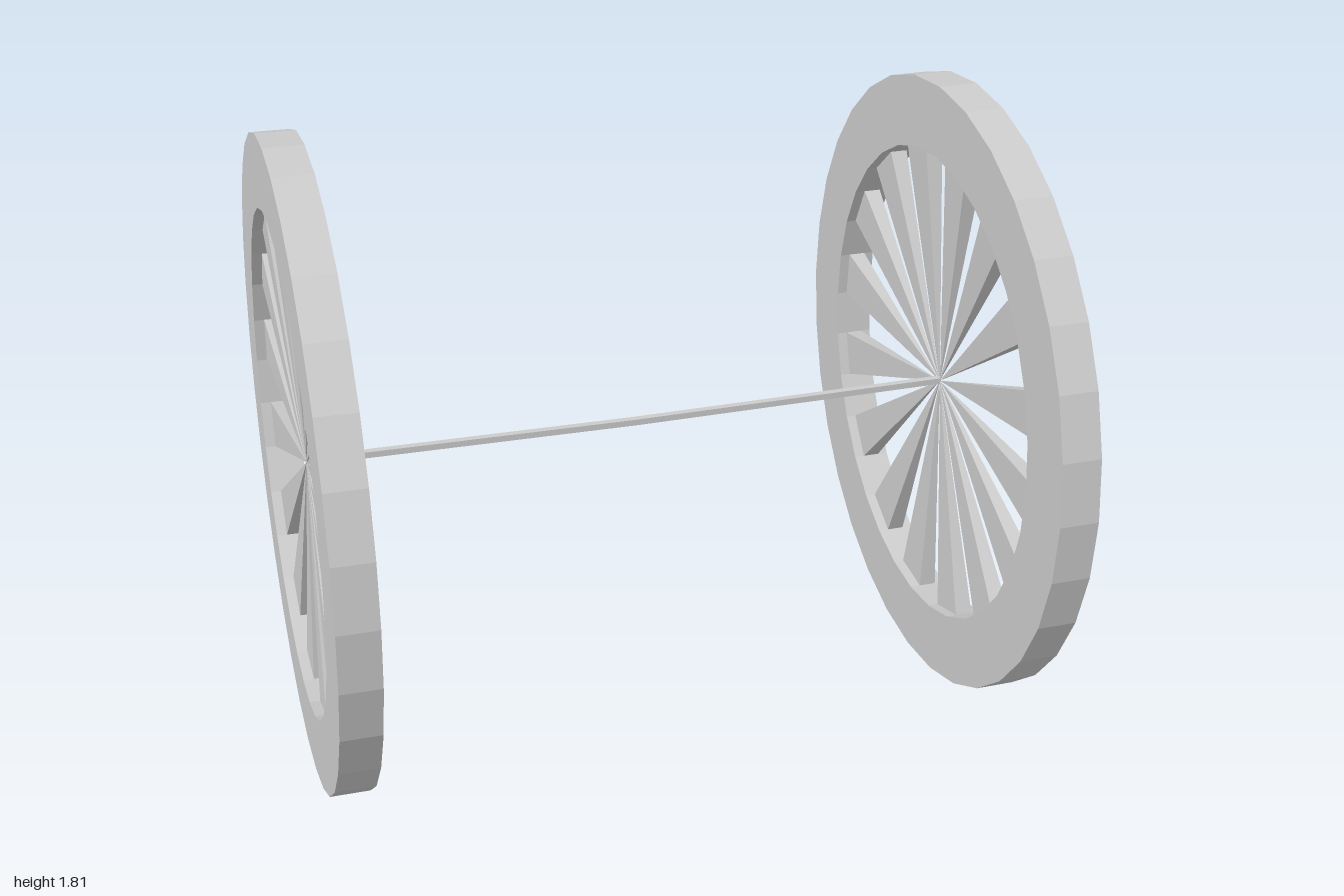
import * as THREE from 'three';

const SIDES = 32, OUTER = 0.907, INNER = 0.703, WIDTH = 0.11;
const SPOKE_WIDTH = 0.05, HUB_X = 0.9375, HUB_Y = 0.909, CAMBER = 0.008;

const material = new THREE.MeshStandardMaterial({ color: 0xcccccc, flatShading: true });

// corner i of a wheel polygon, clockwise from the top
function corner(i, radius) {
  const a = 0.01 + (i / SIDES) * Math.PI * 2;
  return new THREE.Vector2(Math.sin(a) * radius, Math.cos(a) * radius);
}

function polygon(radius) {
  return Array.from({ length: SIDES }, (_, i) => corner(i, radius));
}

// faceted ring, with its axis along x; the hole runs against the outline
function rimGeometry() {
  const shape = new THREE.Shape(polygon(OUTER));
  shape.holes.push(new THREE.Path(polygon(INNER).reverse()));
  return new THREE.ExtrudeGeometry(shape, { depth: WIDTH, bevelEnabled: false })
    .translate(0, 0, -WIDTH / 2)
    .rotateY(Math.PI / 2);
}

// wedge spokes on every second rim facet, each narrowing to a point at the hub
function spokesGeometry() {
  const pos = [];
  const h = SPOKE_WIDTH / 2;
  for (let i = 1; i < SIDES; i += 2) {
    const p = corner(i, INNER), q = corner(i + 1, INNER);
    const base = [[p.x, p.y, h], [q.x, q.y, h], [q.x, q.y, -h], [p.x, p.y, -h]];
    for (let k = 0; k < 4; k++) {
      pos.push(0, 0, 0, ...base[(k + 1) % 4], ...base[k]);
    }
  }
  const geo = new THREE.BufferGeometry();
  geo.setAttribute('position', new THREE.Float32BufferAttribute(pos, 3));
  geo.rotateY(Math.PI / 2);
  geo.computeVertexNormals();
  return geo;
}

function mesh(name, geometry) {
  const m = new THREE.Mesh(geometry, material);
  m.name = name;
  return m;
}

export function createModel() {
  const model = new THREE.Group();
  model.name = 'wheelsAndAxle';
  const rim = rimGeometry(), spokes = spokesGeometry();
  const halfAxle = new THREE.BoxGeometry(HUB_X, 0.018, 0.02);

  for (const side of [1, -1]) {
    const label = side > 0 ? 'left' : 'right';

    // wheel, leaning slightly inwards at the top
    const wheel = new THREE.Group();
    wheel.name = label + 'Wheel';
    wheel.position.set(side * HUB_X, HUB_Y, 0);
    wheel.rotation.z = side * CAMBER;
    wheel.add(mesh('rim', rim), mesh('spokes', spokes));
    model.add(wheel);

    // half of the thin square axle, at right angles to its wheel
    const axle = mesh(label + 'Axle', halfAxle);
    axle.rotation.z = side * CAMBER;
    axle.position.set(side * HUB_X / 2, HUB_Y - CAMBER * HUB_X / 2, -0.007);
    model.add(axle);
  }
  return model;
}
